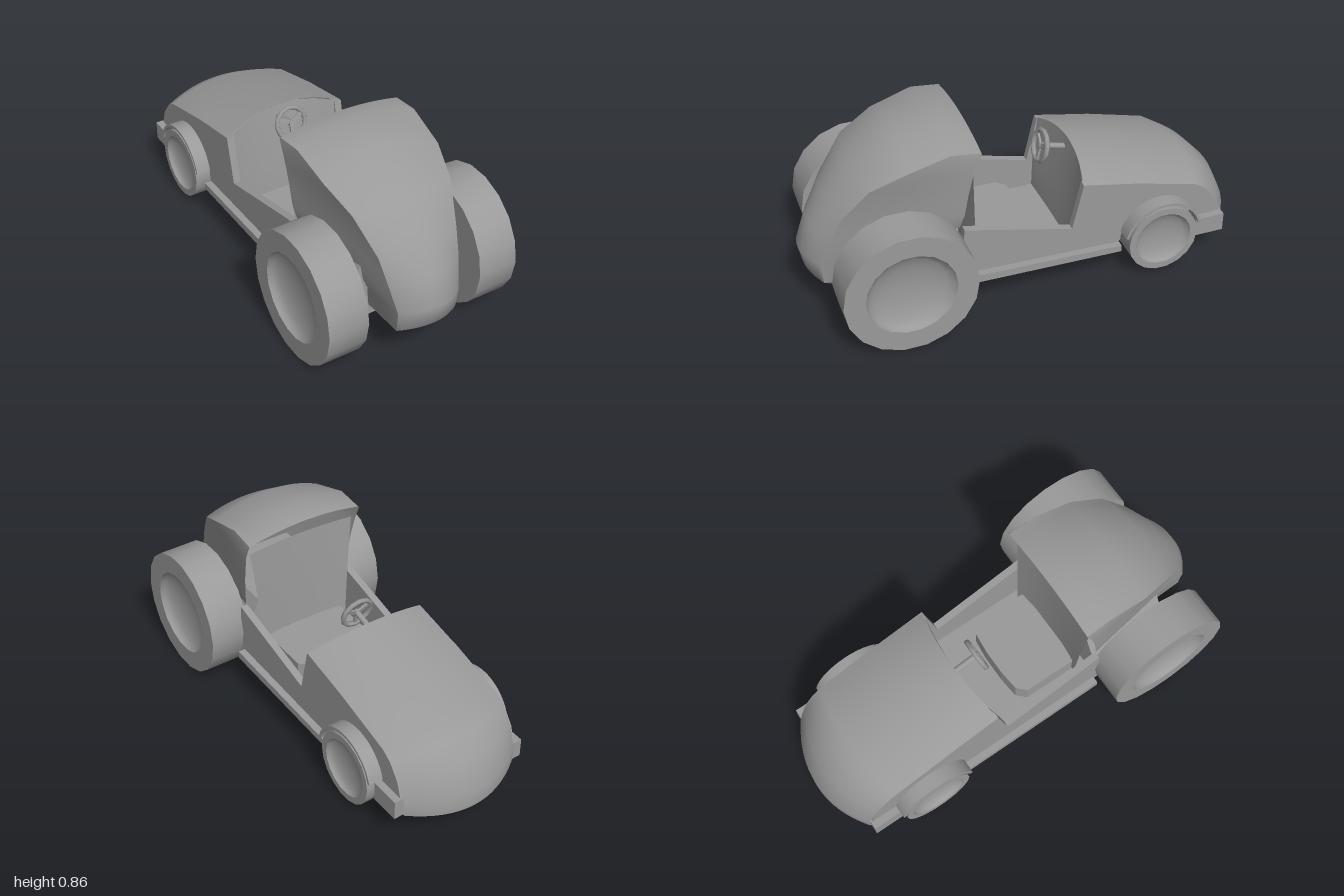
import * as THREE from 'three';
import { toCreasedNormals } from 'three/addons/utils/BufferGeometryUtils.js';

const material = new THREE.MeshStandardMaterial({ color: 0x9a9a9a, side: THREE.DoubleSide });

export function createModel() {
  const model = new THREE.Group();
  const add = (name, geometry, x = 0, y = 0, z = 0) => {
    const mesh = new THREE.Mesh(geometry, material);
    mesh.name = name;
    mesh.position.set(x, y, z);
    model.add(mesh);
  };

  // Grid surface through rows of [x, y, z] points
  const surface = (rows) => {
    const n = rows[0].length, index = [];
    for (let r = 0; r < rows.length - 1; r++)
      for (let c = 0; c < n - 1; c++) {
        const a = r * n + c, b = a + n;
        index.push(a, a + 1, b, b, a + 1, b + 1);
      }
    const g = new THREE.BufferGeometry();
    g.setAttribute('position', new THREE.Float32BufferAttribute(rows.flat(2), 3));
    g.setIndex(index);
    g.computeVertexNormals();
    return g;
  };

  // Arched skin: each row runs edge - crown - edge, from [crownY, crownZ, edgeX, edgeY, edgeZ]
  const arch = (rows, steps = 16) => surface(rows.map(([cy, cz, ex, ey, ez]) =>
    Array.from({ length: steps + 1 }, (_, i) => {
      const u = 1 - (2 * i) / steps;
      return [ex * u, cy + (ey - cy) * u * u, cz + (ez - cz) * u * u];
    })));

  const toShape = (points) => new THREE.Shape(points.map((p) => new THREE.Vector2(...p)));
  // Side profile in (z, y), extruded across from x0 to x1
  const profile = (shape, x0, x1) => {
    const g = new THREE.ExtrudeGeometry(shape, { depth: x1 - x0, bevelEnabled: false, curveSegments: 14 });
    return toCreasedNormals(g.rotateY(-Math.PI / 2).translate(x1, 0, 0), 0.6);
  };
  // Plan outline in (x, z), extruded upward from y0 to y1
  const plan = (points, y0, y1) =>
    new THREE.ExtrudeGeometry(toShape(points.map(([x, z]) => [x, -z])), { depth: y1 - y0, bevelEnabled: false })
      .rotateX(-Math.PI / 2).translate(0, y0, 0);
  const mirrored = (half) => [...half, ...half.slice().reverse().map(([x, y]) => [-x, y])];

  // Bonnet running down into the nose, the nose underside and the dashboard
  add('bonnet', arch([
    [0.59, -0.25, 0.295, 0.53, -0.21],
    [0.525, -0.5, 0.3, 0.475, -0.48],
    [0.44, -0.8, 0.3, 0.4, -0.76],
    [0.4, -0.87, 0.298, 0.365, -0.81],
    [0.32, -0.945, 0.295, 0.3, -0.86],
    [0.2, -1.0, 0.29, 0.2, -0.9],
    [0.112, -1.0, 0.285, 0.13, -0.9],
  ]));
  add('noseUnderside', arch([[0.112, -1.0, 0.285, 0.13, -0.9], [0.145, -0.84, 0.285, 0.145, -0.8]]));
  add('dashboard', arch([
    [0.588, -0.252, 0.27, 0.535, -0.213],
    [0.31, -0.205, 0.265, 0.31, -0.19],
    [0.165, -0.19, 0.265, 0.165, -0.185],
  ]));

  // Rear canopy skin and its side walls
  const canopy = [
    [0.838, 0.25, 0.287, 0.805, 0.25],
    [0.857, 0.34, 0.286, 0.82, 0.38],
    [0.84, 0.55, 0.276, 0.765, 0.57],
    [0.71, 0.75, 0.238, 0.69, 0.72],
    [0.57, 0.87, 0.19, 0.54, 0.84],
    [0.45, 0.95, 0.173, 0.43, 0.89],
    [0.32, 1.0, 0.15, 0.3, 0.935],
    [0.22, 0.98, 0.147, 0.2, 0.925],
    [0.165, 0.92, 0.12, 0.165, 0.89],
    [0.148, 0.89, 0.05, 0.155, 0.87],
  ];
  add('canopy', arch(canopy));
  const frontLine = [
    [0.292, 0.8, 0.25], [0.292, 0.74, 0.276], [0.288, 0.68, 0.292], [0.284, 0.6, 0.31],
    [0.278, 0.5, 0.325], [0.265, 0.43, 0.345], [0.165, 0.3, 0.7], [0.155, 0.2, 0.72],
    [0.125, 0.165, 0.73], [0.05, 0.16, 0.73],
  ];
  for (const s of [1, -1])
    add('canopySide', surface(frontLine.map(([x, y, z], i) => {
      const [, , ex, ey, ez] = canopy[i];
      return [0, 0.33, 0.67, 1].map((t) => [
        s * (ex + (x - ex) * t), ey + (y - ey) * t, ez + (z - ez) * t]);
    })));

  // Body sides with the front wheel opening
  const side = toShape([[-0.38, 0.16], [0.36, 0.17], [0.335, 0.435], [-0.16, 0.31], [-0.21, 0.53],
    [-0.48, 0.475], [-0.76, 0.4], [-0.81, 0.365], [-0.86, 0.3], [-0.895, 0.2], [-0.77, 0.19]]);
  side.absarc(-0.58, 0.19, 0.183, Math.PI, 0, true);

  // Lip over the front wheel
  const lip = new THREE.Shape();
  lip.absarc(-0.58, 0.19, 0.189, 0.24, Math.PI - 0.24, false);
  lip.absarc(-0.58, 0.19, 0.176, Math.PI - 0.24, 0.24, true);

  const board = toShape([[0.32, 0.162], [0.32, 0.2], [-0.39, 0.177], [-0.39, 0.145]]);
  for (const s of [1, -1]) {
    const span = (a, b) => (s > 0 ? [a, b] : [-b, -a]);
    add('bodySide', profile(side, ...span(0.265, 0.299)));
    add('wheelLip', profile(lip, ...span(0.27, 0.366)));
    add('runningBoard', profile(board, ...span(0.28, 0.332)));
    add('bumperEnd', new THREE.BoxGeometry(0.08, 0.09, 0.14), s * 0.293, 0.18, -0.825);
  }

  // Floor and the tapered tub behind the seat
  add('floor', plan(mirrored([
    [0.265, 0.73], [0.27, 0.34], [0.3, 0.3], [0.3, -0.39], [0.215, -0.39], [0.215, -0.77], [0.27, -0.86],
  ]), 0.145, 0.165));
  add('rearTub', new THREE.ExtrudeGeometry(
    toShape(mirrored([[0.265, 0.16], [0.265, 0.3], [0.2, 0.43]])),
    { depth: 0.39, bevelEnabled: false }), 0, 0, 0.34);

  // Seat cushion and slightly curved backrest
  add('seatCushion', plan(mirrored([[0.2, 0.28], [0.2, 0.02], [0.16, -0.02], [0.06, -0.03]]), 0.165, 0.27));
  add('seatBack', surface([0.2, 0.43, 0.6, 0.74].map((y, r) =>
    Array.from({ length: 13 }, (_, i) => {
      const u = i / 6 - 1;
      return [u * (0.225 + 0.015 * r), y, 0.262 + 0.007 * r + 0.02 * (1 - u * u)];
    }))));

  // Steering wheel on its column
  const steering = new THREE.Group();
  steering.name = 'steeringWheel';
  steering.position.set(-0.015, 0.56, -0.13);
  steering.rotation.x = -0.25;
  const part = (name, g) => {
    const mesh = new THREE.Mesh(g, material);
    mesh.name = name;
    steering.add(mesh);
  };
  part('rim', new THREE.TorusGeometry(0.072, 0.012, 6, 12));
  for (let i = 0; i < 3; i++)
    part('spoke', new THREE.BoxGeometry(0.018, 0.07, 0.01).translate(0, 0.035, 0)
      .rotateZ((i * 2 * Math.PI) / 3 + Math.PI));
  part('column', new THREE.CylinderGeometry(0.014, 0.014, 0.14, 8).rotateX(Math.PI / 2).translate(0, 0, -0.06));
  model.add(steering);

  // Wheels: flat tread, flat sidewall and a dished centre
  const wheel = (name, s, radius, hub, inner, outer, y, z) => {
    const h = (outer - inner) / 2, dish = hub * 0.3;
    const points = [[0, -h], [radius, -h], [radius, h], [hub, h]];
    for (let i = 1; i <= 5; i++) {
      const a = (i / 5) * Math.PI / 2;
      points.push([hub * Math.cos(a), h - dish * Math.sin(a)]);
    }
    const g = new THREE.LatheGeometry(points.map((p) => new THREE.Vector2(Math.max(p[0], 0), p[1])), 18);
    g.rotateZ(-s * Math.PI / 2);
    add(name, toCreasedNormals(g, 0.7), s * (inner + outer) / 2, y, z);
  };
  for (const s of [1, -1]) {
    wheel('rearWheel', s, 0.296, 0.2, 0.275, 0.461, 0.2915, 0.62);
    wheel('frontWheel', s, 0.166, 0.134, 0.227, 0.364, 0.187, -0.58);
  }
  return model;
}
